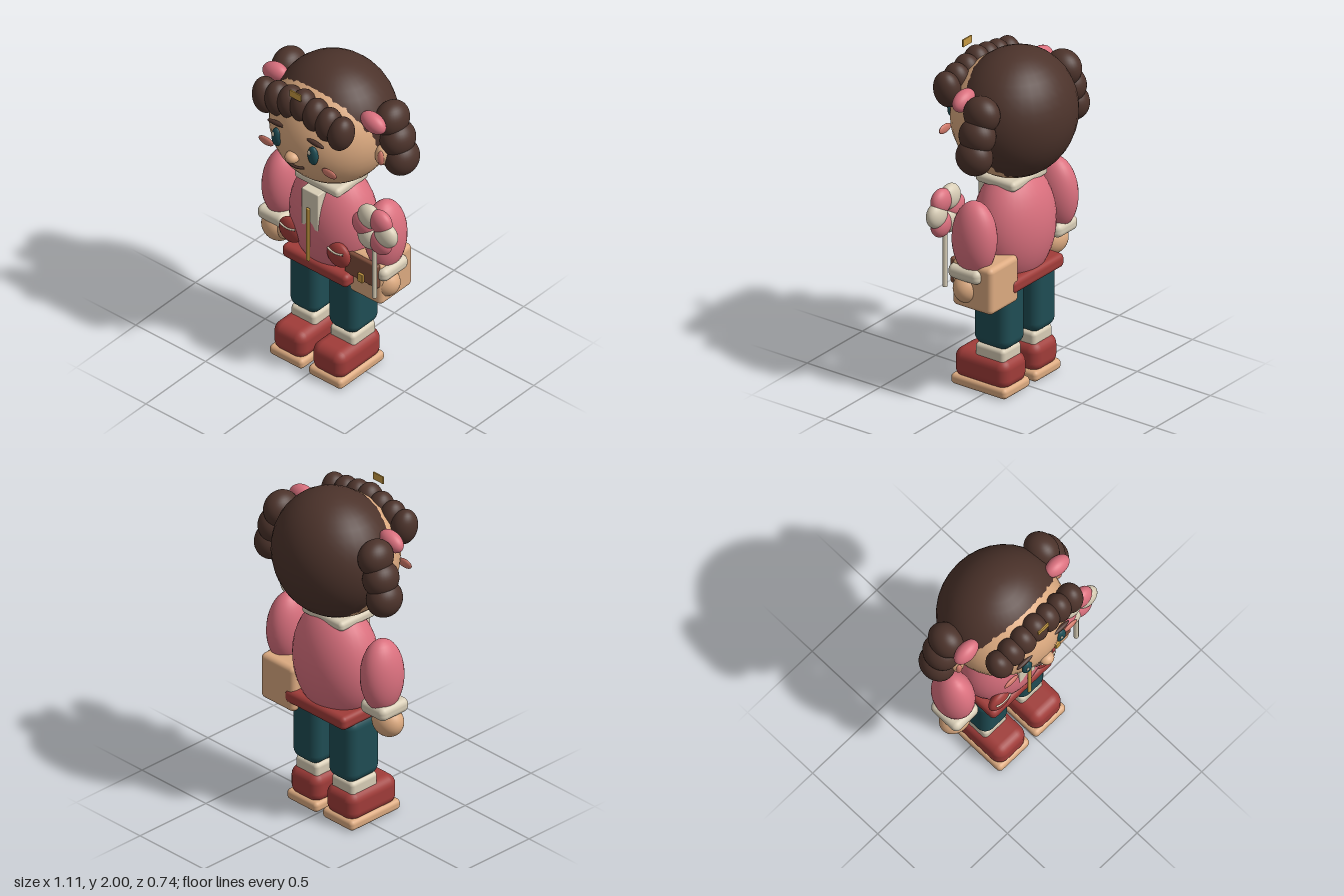
import * as THREE from 'three';
import { RoundedBoxGeometry } from 'three/addons/geometries/RoundedBoxGeometry.js';

const mat = (name, color) => {
  const m = new THREE.MeshStandardMaterial({ color });
  m.name = name;
  return m;
};

export function createModel() {
  const hair = mat('dark brown hair', 0x4c332b);
  const skin = mat('skin tan', 0xdcaa80);
  const pink = mat('pink', 0xda707e);
  const red = mat('brick red', 0xa03c39);
  const teal = mat('dark teal', 0x1f4d54);
  const cream = mat('cream', 0xd8cdb6);
  const gold = mat('gold', 0xc79a42);
  const leather = mat('leather brown', 0x7d4d3a);
  const blush = mat('blush', 0xd0796a);

  const model = new THREE.Group();
  model.name = 'doll';
  // Everything but the bag and sweet is symmetric about x = 0 of this group
  const doll = new THREE.Group();
  doll.name = 'figure';
  doll.position.x = -0.024;
  model.add(doll);

  const add = (name, geo, material, pos, rotZ = 0, parent = doll) => {
    const m = new THREE.Mesh(geo, material);
    m.name = name;
    m.position.set(...pos);
    m.rotation.z = rotZ;
    parent.add(m);
    return m;
  };
  const ball = (name, material, pos, [rx, ry, rz], rotZ = 0, parent = doll) =>
    add(name, new THREE.SphereGeometry(1, 32, 20).scale(rx, ry, rz), material, pos, rotZ, parent);
  const box = (name, material, pos, [w, h, d], r, parent = doll) =>
    add(name, new RoundedBoxGeometry(w, h, d, 4, r), material, pos, 0, parent);
  // Thin bent line through three points
  const line = (name, material, pts, r) => {
    const curve = new THREE.QuadraticBezierCurve3(...pts.map(p => new THREE.Vector3(...p)));
    return add(name, new THREE.TubeGeometry(curve, 12, r, 8), material, [0, 0, 0]);
  };

  // Head
  ball('face', skin, [0, 1.61, -0.01], [0.355, 0.36, 0.34]);
  ball('hairCap', hair, [0, 1.63, -0.04], [0.36, 0.37, 0.325]);
  ball('nose', skin, [0, 1.545, 0.33], [0.042, 0.034, 0.04]);
  line('mouth', hair, [[-0.066, 1.487, 0.302], [0, 1.46, 0.328], [0.066, 1.487, 0.302]], 0.008);

  // Fringe of seven tufts, lower and longer toward the sides
  for (let i = -3; i <= 3; i++) {
    const a = Math.abs(i);
    ball('fringeTuft', hair, [i * 0.09, 1.845 - a * 0.02, 0.235],
      [0.072, 0.1 + a * 0.003, 0.08], -i * 0.06);
  }
  box('hairpin', gold, [0, 1.952, 0.303], [0.08, 0.045, 0.009], 0.002);

  for (const s of [-1, 1]) {
    // Side hair in three puffs, tied with a bow
    ball('hairPuffTop', hair, [s * 0.37, 1.76, -0.077], [0.09, 0.105, 0.108]);
    ball('hairPuffMiddle', hair, [s * 0.41, 1.645, -0.077], [0.095, 0.105, 0.108]);
    ball('hairPuffBottom', hair, [s * 0.438, 1.53, -0.077], [0.095, 0.107, 0.108]);
    ball('bow', pink, [s * 0.352, 1.8, 0.06], [0.084, 0.058, 0.05], -s * 0.25);
    ball('ear', skin, [s * 0.372, 1.56, 0.01], [0.042, 0.065, 0.04]);
    ball('innerEar', blush, [s * 0.385, 1.558, 0.035], [0.02, 0.048, 0.02]);

    // Features
    ball('eye', teal, [s * 0.13, 1.605, 0.307], [0.034, 0.06, 0.022]);
    ball('eyeHighlight', cream, [s * 0.13 - 0.012, 1.63, 0.327], [0.01, 0.016, 0.005]);
    ball('eyebrow', hair, [s * 0.138, 1.692, 0.3], [0.064, 0.014, 0.014], -s * 0.08);
    ball('cheek', blush, [s * 0.227, 1.516, 0.283], [0.053, 0.027, 0.012]);

    // Arm
    ball('sleeve', pink, [s * 0.367, 0.995, -0.025], [0.107, 0.22, 0.135], s * 0.04);
    box('cuff', cream, [s * 0.37, 0.8, -0.01], [0.19, 0.085, 0.212], 0.035);
    ball('hand', skin, [s * 0.381, 0.7, 0.005], [0.098, 0.09, 0.08]);
    ball('thumb', skin, [s * 0.305, 0.725, 0.035], [0.036, 0.062, 0.045]);

    // Pocket with trim
    ball('pocket', red, [s * 0.172, 0.85, 0.14], [0.08, 0.08, 0.038]);
    line('pocketTrim', cream, [[s * 0.172 - 0.056, 0.888, 0.168],
      [s * 0.172, 0.872, 0.182], [s * 0.172 + 0.056, 0.888, 0.168]], 0.006);

    // Leg and foot
    box('trouserLeg', teal, [s * 0.14, 0.475, -0.022], [0.204, 0.4, 0.24], 0.06);
    box('sock', cream, [s * 0.14, 0.23, -0.015], [0.172, 0.1, 0.2], 0.025);
    box('shoe', red, [s * 0.14, 0.13, 0.037], [0.226, 0.18, 0.365], 0.06);
    box('sole', skin, [s * 0.14, 0.032, 0.038], [0.24, 0.064, 0.378], 0.025);
  }

  // Jacket
  ball('jacket', pink, [0, 0.95, -0.02], [0.27, 0.35, 0.207]);
  box('collar', cream, [0, 1.242, 0], [0.32, 0.06, 0.27], 0.025);
  box('placket', cream, [0, 1.095, 0.12], [0.12, 0.25, 0.126], 0.006);
  box('zip', gold, [0, 0.935, 0.197], [0.024, 0.36, 0.014], 0.005);
  box('belt', red, [0, 0.682, -0.02], [0.47, 0.084, 0.345], 0.03);

  // Shoulder bag at the left hip
  const bag = new THREE.Group();
  bag.name = 'bag';
  model.add(bag);
  box('bagBody', skin, [0.275, 0.725, -0.048], [0.26, 0.28, 0.272], 0.03, bag);
  box('bagFlap', leather, [0.275, 0.787, 0.09], [0.24, 0.155, 0.03], 0.012, bag);
  box('bagClasp', gold, [0.28, 0.738, 0.11], [0.036, 0.056, 0.018], 0.004, bag);

  // Striped sweet: six alternating lobes on a stick
  const sweet = new THREE.Group();
  sweet.name = 'sweet';
  model.add(sweet);
  add('stick', new THREE.CylinderGeometry(0.014, 0.014, 0.42, 16), cream, [0.4, 0.89, 0.135], 0, sweet);
  for (let k = 0; k < 6; k++) {
    const a = k * Math.PI / 3;
    ball('sweetLobe', k % 2 ? pink : cream,
      [0.4 + 0.08 * Math.cos(a), 1.142 + 0.08 * Math.sin(a), 0.13], [0.075, 0.075, 0.048], 0, sweet);
  }
  return model;
}
